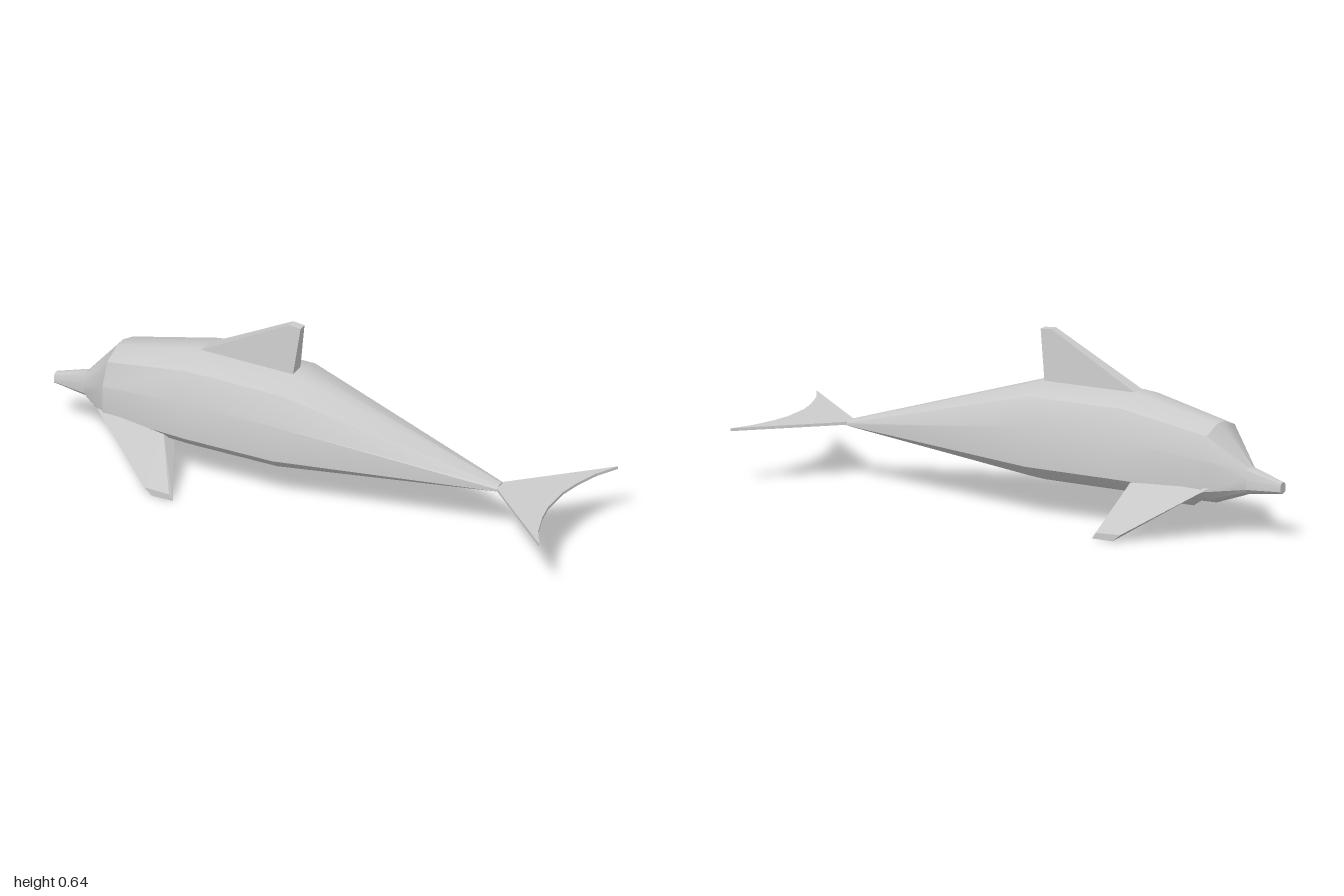
import * as THREE from 'three';
import { toCreasedNormals } from 'three/addons/utils/BufferGeometryUtils.js';
import { ConvexGeometry } from 'three/addons/geometries/ConvexGeometry.js';

// Half of the body cross-section, top to bottom: [z, y] as fractions of half width and half height
const HALF = [[0.17, 1], [0.73, 0.8], [1, 0.23], [1, -0.57], [0.76, -0.81], [0.21, -1]];
const RING = [...HALF, ...HALF.map(([z, y]) => [-z, y]).reverse()];

// Body stations from snout to tail: [x, bottom, top, half width, forward lean of the upper rim]
const STATIONS = [
  [-1, 0.17, 0.21, 0.018, 0],
  [-0.875, 0.155, 0.25, 0.036, 0],
  [-0.755, 0.114, 0.39, 0.133, 0],
  [-0.43, 0.112, 0.46, 0.174, -0.01],
  [-0.08, 0.112, 0.456, 0.172, 0.01],
  [0.7, 0.194, 0.214, 0.026, 0],
];

function bodyGeometry() {
  const n = RING.length, pos = [], index = [];
  for (const [x, bottom, top, w, lean] of STATIONS) {
    const mid = (top + bottom) / 2, h = (top - bottom) / 2;
    for (const [z, y] of RING) pos.push(x + lean * y, mid + h * y, w * z);
  }
  for (let s = 0; s < STATIONS.length - 1; s++) {
    for (let i = 0; i < n; i++) {
      const a = s * n + i, b = s * n + (i + 1) % n;
      index.push(a, b, a + n, b, b + n, a + n);
    }
  }
  // Close the snout and the tail stock
  const last = (STATIONS.length - 1) * n;
  for (let i = 1; i < n - 1; i++) {
    index.push(0, i + 1, i, last, last + i, last + i + 1);
  }
  const geo = new THREE.BufferGeometry();
  geo.setAttribute('position', new THREE.Float32BufferAttribute(pos, 3));
  geo.setIndex(index);
  return toCreasedNormals(geo, 0.6);
}

const hull = (points) => new ConvexGeometry(points.map((p) => new THREE.Vector3(...p)));

function finGeometry() {
  const points = [];
  for (const s of [1, -1]) {
    points.push([-0.44, 0.455, 0.028 * s], [-0.08, 0.45, 0.028 * s],
      [-0.1, 0.638, 0.015 * s], [-0.057, 0.634, 0.015 * s]);
  }
  return hull(points);
}

function flipperGeometry(side) {
  return hull([
    // root
    [-0.78, 0.188, 0.125], [-0.5, 0.185, 0.174], [-0.71, 0.145, 0.115], [-0.475, 0.148, 0.145],
    // tip
    [-0.52, 0.025, 0.281], [-0.425, 0.022, 0.281], [-0.49, 0, 0.281], [-0.41, 0, 0.281],
  ].map(([x, y, z]) => [x, y, z * side]));
}

function flukeGeometry() {
  const half = [[0.7, 0.026], [1, 0.297], [0.957, 0.22], [0.927, 0.13], [0.912, 0.055]];
  const outline = [...half, ...half.map(([x, z]) => [x, -z]).reverse()];
  const shape = new THREE.Shape(outline.map(([x, z]) => new THREE.Vector2(x, z)));
  const geo = new THREE.ExtrudeGeometry(shape, { depth: 0.01, bevelEnabled: false });
  return geo.rotateX(Math.PI / 2).translate(0, 0.21, 0);
}

export function createModel() {
  const model = new THREE.Group();
  model.name = 'dolphin';
  const material = new THREE.MeshStandardMaterial({ color: 0xcccccc });
  const add = (name, geometry) => {
    const mesh = new THREE.Mesh(geometry, material);
    mesh.name = name;
    model.add(mesh);
  };
  add('body', bodyGeometry());
  add('dorsalFin', finGeometry());
  add('flipperNear', flipperGeometry(1));
  add('flipperFar', flipperGeometry(-1));
  add('tailFluke', flukeGeometry());
  return model;
}
